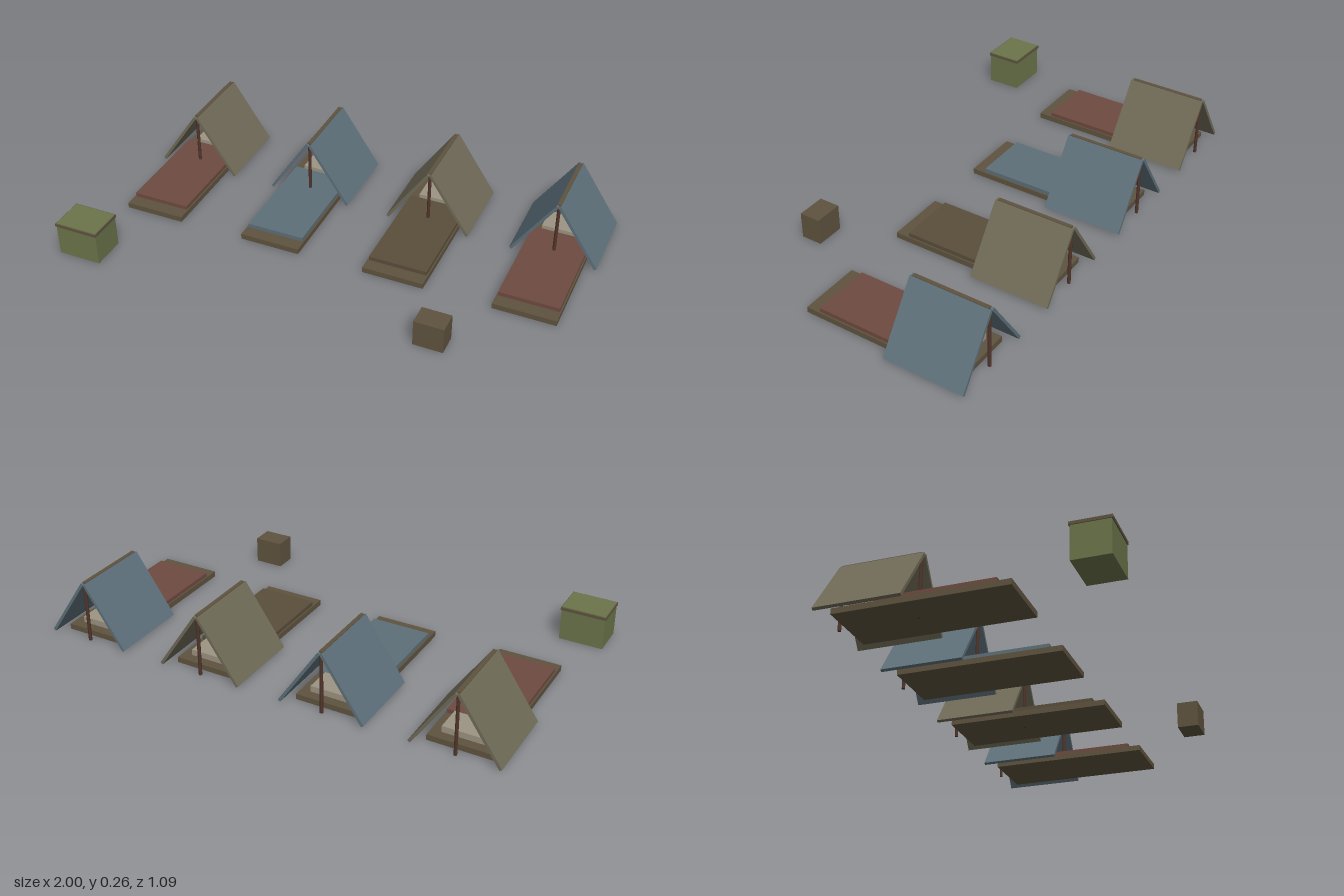
import * as THREE from 'three';

const mat = (name, color) => {
  const m = new THREE.MeshStandardMaterial({ color });
  m.name = name;
  return m;
};

export function createModel() {
  const olive = mat('olive canvas', 0x6f6a57);
  const blue = mat('blue canvas', 0x5d6f79);
  const red = mat('red wool', 0x6e4a40);
  const brown = mat('brown wool', 0x5a4e3b);
  const matting = mat('ground mat', 0x5f533f);
  const wood = mat('pole wood', 0x50352b);
  const linen = mat('pillow linen', 0x9c9482);
  const green = mat('green crate', 0x6b744a);

  const camp = new THREE.Group();
  camp.name = 'camp';

  // Box given by its x centre and its y and z limits
  const box = (parent, name, material, width, x, [y0, y1], [z0, z1]) => {
    const mesh = new THREE.Mesh(new THREE.BoxGeometry(width, y1 - y0, z1 - z0), material);
    mesh.position.set(x, (y0 + y1) / 2, (z0 + z1) / 2);
    mesh.name = name;
    parent.add(mesh);
    return mesh;
  };

  const tents = [
    { canvas: olive, blanket: red },
    { canvas: blue, blanket: blue },
    { canvas: olive, blanket: brown },
    { canvas: blue, blanket: red },
  ];

  tents.forEach(({ canvas, blanket }, i) => {
    const tent = new THREE.Group();
    tent.name = 'tent';
    tent.position.x = -0.783 + i * 0.534;
    camp.add(tent);

    // Bedding
    box(tent, 'groundMat', matting, 0.255, 0, [0, 0.023], [-0.5, 0.17]);
    box(tent, 'blanket', blanket, 0.243, 0, [0.023, 0.04], [-0.34, 0.115]);
    box(tent, 'pillow', linen, 0.175, 0, [0.023, 0.048], [-0.46, -0.35]);

    // Two leaning canvas sheets
    for (const side of [-1, 1]) {
      const sheet = box(tent, 'canvasSheet', canvas, 0.012, side * 0.089, [-0.0225, 0.2825], [-0.545, -0.21]);
      sheet.rotation.z = side * 0.595;
    }

    // Ridge and upright poles
    box(tent, 'ridgePole', matting, 0.016, 0, [0.246, 0.262], [-0.535, -0.22]);
    for (const z of [-0.532, -0.223]) {
      const pole = new THREE.Mesh(new THREE.CylinderGeometry(0.007, 0.007, 0.252, 8), wood);
      pole.position.set(0, 0.126, z);
      pole.name = 'pole';
      tent.add(pole);
    }
  });

  // Lidded crate and small supply box
  box(camp, 'crateBody', green, 0.18, -0.907, [0, 0.131], [0.4, 0.543]);
  box(camp, 'crateLid', matting, 0.186, -0.907, [0.131, 0.143], [0.396, 0.547]);
  box(camp, 'crateTop', green, 0.18, -0.907, [0.143, 0.145], [0.4, 0.543]);
  box(camp, 'supplyBox', matting, 0.12, 0.55, [0, 0.11], [0.392, 0.48]);

  return camp;
}
